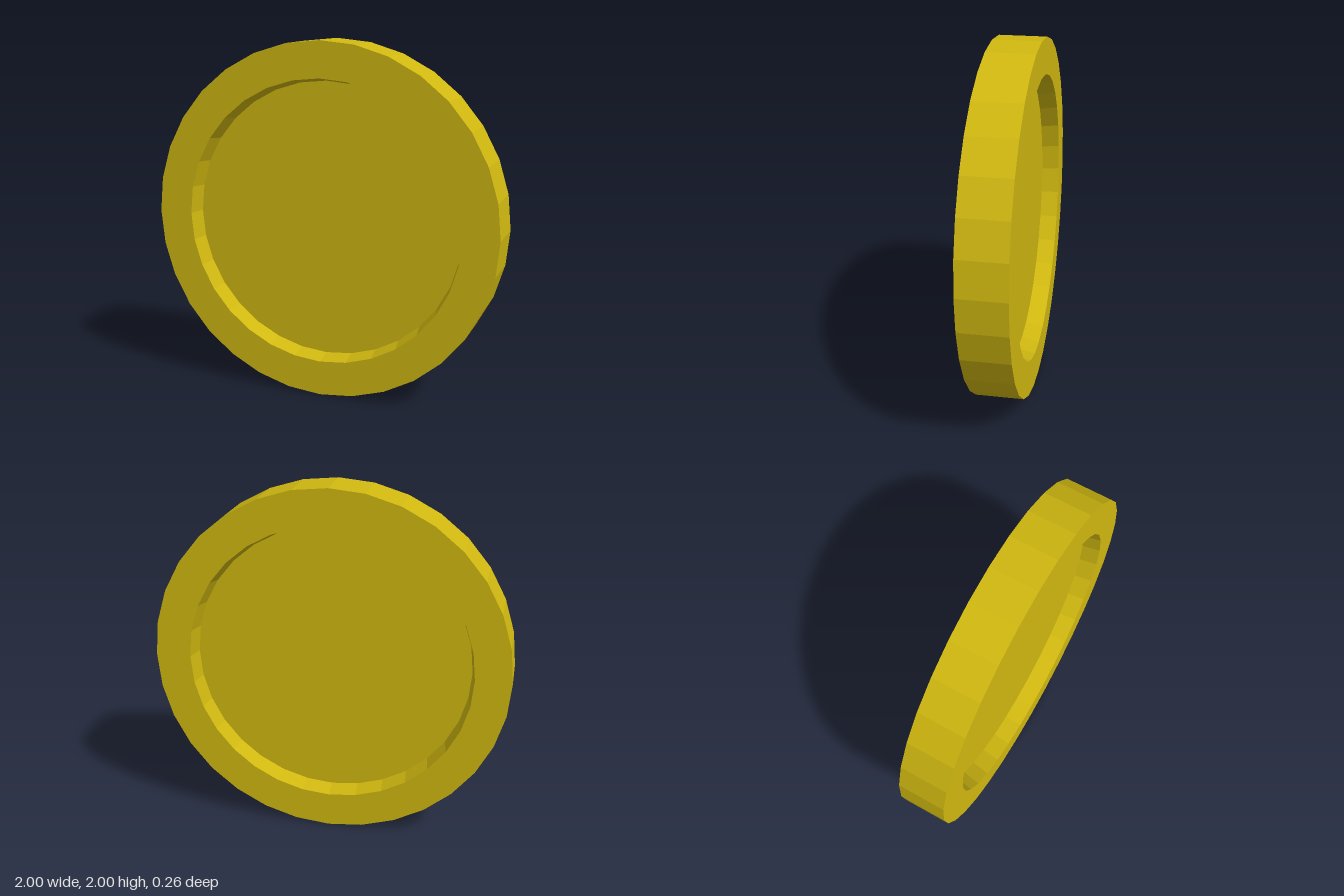
import * as THREE from 'three';

const SIDES = 32;
const HALF = 0.132;  // half thickness at the rim
const FLOOR = 0.03;  // half thickness of the recessed centre

export function createModel() {
  const group = new THREE.Group();
  group.name = 'coin';
  const gold = new THREE.MeshStandardMaterial({ color: 0xd0b810, flatShading: true });

  // Turn a [radius, height] profile about the z axis
  const turned = (name, profile) => {
    const points = profile.map(([r, y]) => new THREE.Vector2(r, y));
    const geometry = new THREE.LatheGeometry(points, SIDES).rotateX(Math.PI / 2);
    const mesh = new THREE.Mesh(geometry, gold);
    mesh.name = name;
    mesh.position.y = 1;
    group.add(mesh);
  };

  // Raised rim with slightly sloped inner walls on both faces
  turned('rim', [
    [0.78, -FLOOR], [0.8, -HALF], [1, -HALF],
    [1, HALF], [0.8, HALF], [0.78, FLOOR],
  ]);

  // Recessed flat faces
  turned('backFace', [[0, -FLOOR], [0.78, -FLOOR]]);
  turned('frontFace', [[0.78, FLOOR], [0, FLOOR]]);

  return group;
}
